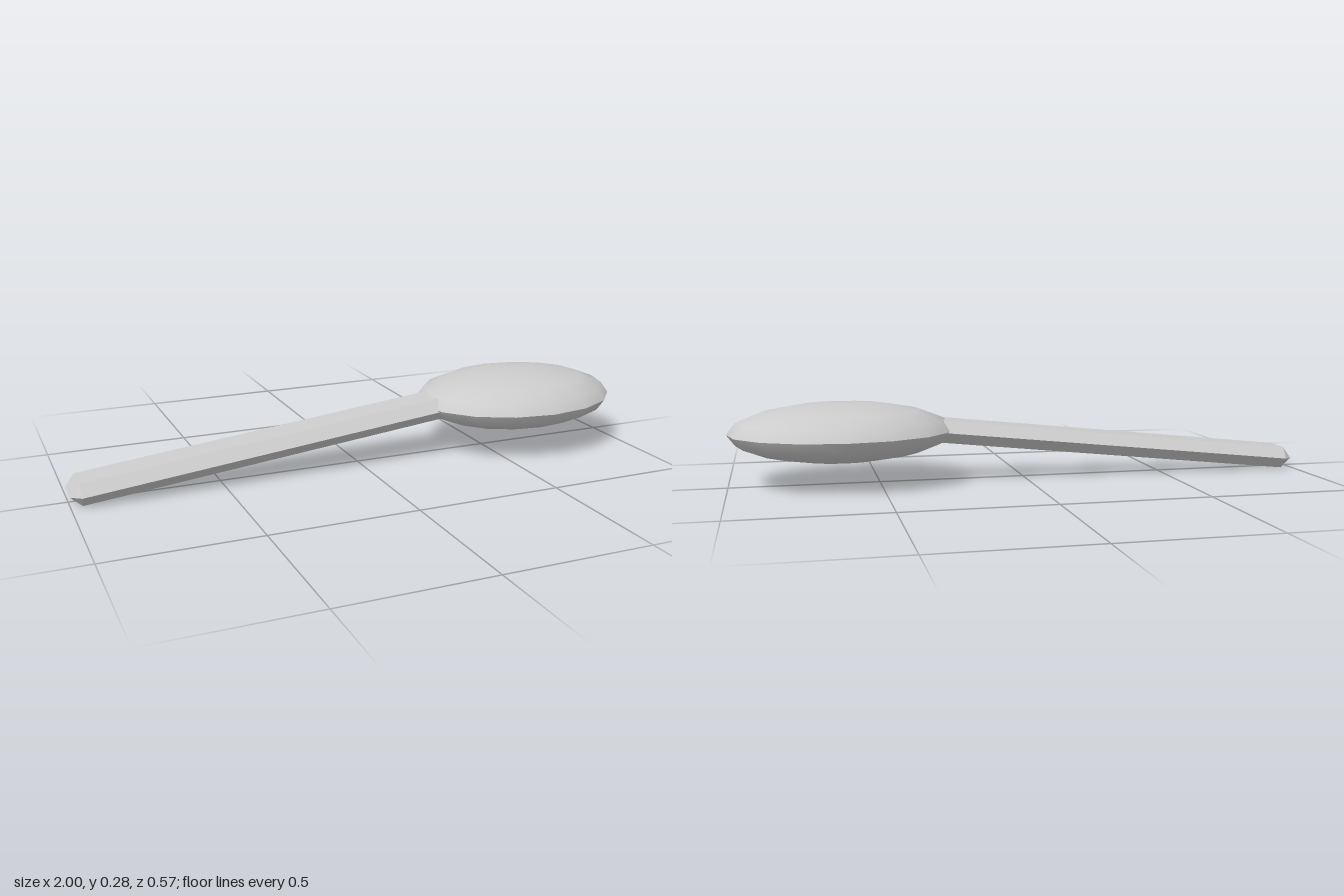
import * as THREE from 'three';
import { toCreasedNormals } from 'three/addons/utils/BufferGeometryUtils.js';
import { ConvexGeometry } from 'three/addons/geometries/ConvexGeometry.js';

// Box with every edge chamfered until the side and end faces become ridges.
function chamferedBar(length, height, width, chamfer) {
  const points = [];
  const l = length / 2, h = height / 2, w = width / 2;
  for (const sx of [-1, 1]) {
    for (const sz of [-1, 1]) {
      points.push(new THREE.Vector3(sx * l, 0, sz * (w - chamfer)));
      points.push(new THREE.Vector3(sx * (l - chamfer), 0, sz * w));
      for (const sy of [-1, 1]) {
        points.push(new THREE.Vector3(sx * (l - chamfer), sy * h, sz * (w - chamfer)));
      }
    }
  }
  return new ConvexGeometry(points);
}

export function createModel() {
  const group = new THREE.Group();
  const color = 0xcccccc;

  // Head: flattened ellipsoid, smooth on each half with a sharp rim
  const headGeometry = new THREE.SphereGeometry(1, 16, 8);
  headGeometry.scale(0.375, 0.099, 0.286);
  const head = new THREE.Mesh(
    toCreasedNormals(headGeometry, 0.8),
    new THREE.MeshStandardMaterial({ color })
  );
  head.name = 'head';
  head.position.set(0.625, 0.177, 0);
  group.add(head);

  // Handle: chamfered bar rising into the head
  const length = 1.36, tilt = 0.107;
  const handle = new THREE.Mesh(
    chamferedBar(length, 0.076, 0.176, 0.035),
    new THREE.MeshStandardMaterial({ color, flatShading: true })
  );
  handle.name = 'handle';
  handle.rotation.z = tilt;
  handle.position.set(
    -1 + (length / 2) * Math.cos(tilt),
    0.034 + (length / 2) * Math.sin(tilt),
    0
  );
  group.add(handle);

  return group;
}
